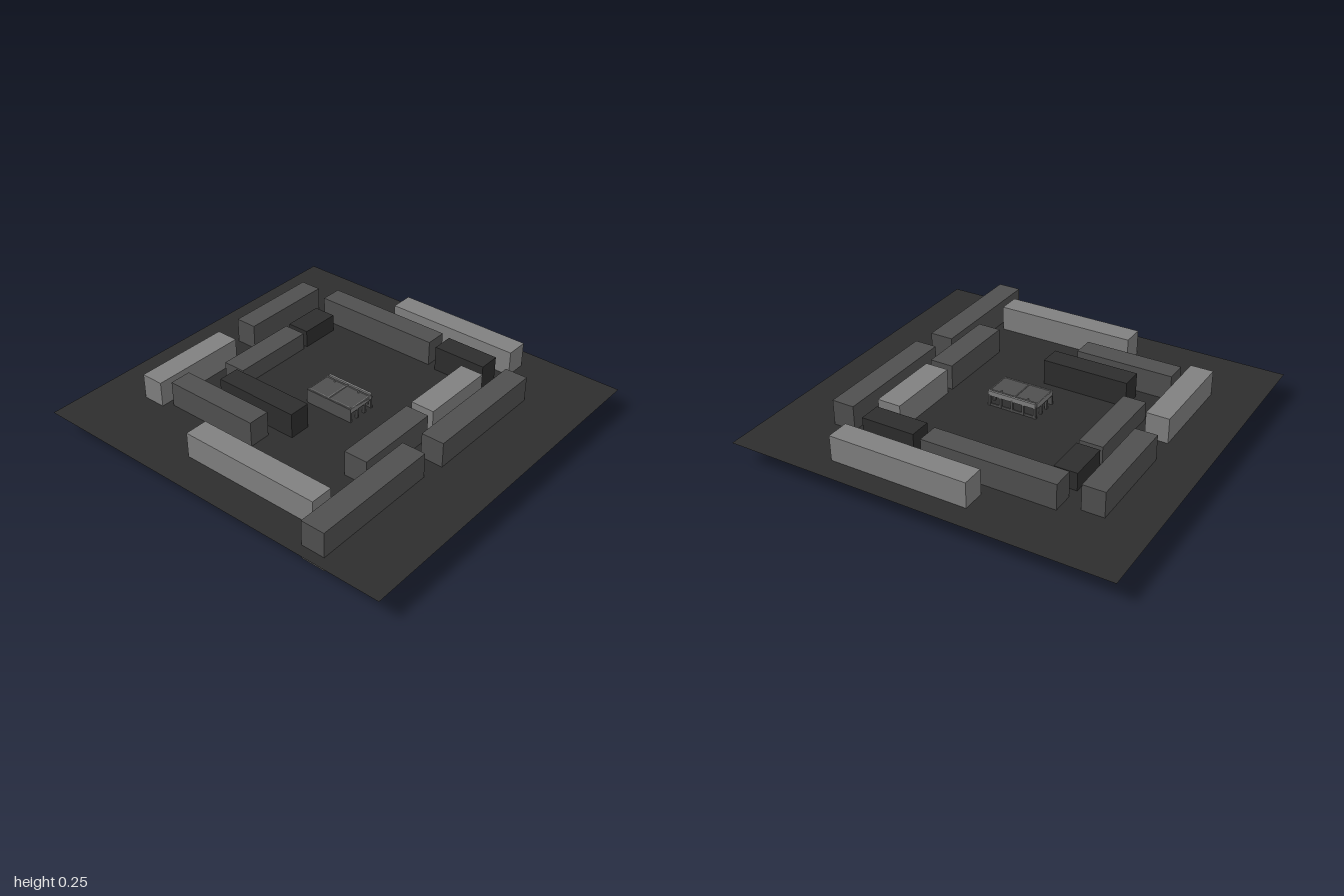
import * as THREE from 'three';

const mat = (name, color, side = THREE.FrontSide) => {
  const m = new THREE.MeshStandardMaterial({ color, side });
  m.name = name;
  return m;
};

export function createModel() {
  const group = new THREE.Group();
  const light = mat('light grey', 0x808080);
  const mid = mat('mid grey', 0x4f4f4f);
  const dark = mat('charcoal', 0x2d2d2d);
  const ground = mat('ground charcoal', 0x2d2d2d, THREE.DoubleSide);
  const G = 0.115; // ground height; the walls run down through it

  // Box given by its extents on each axis
  const box = (name, m, x0, x1, y0, y1, z0, z1, parent = group) => {
    const mesh = new THREE.Mesh(new THREE.BoxGeometry(x1 - x0, y1 - y0, z1 - z0), m);
    mesh.position.set((x0 + x1) / 2, (y0 + y1) / 2, (z0 + z1) / 2);
    mesh.name = name;
    parent.add(mesh);
    return mesh;
  };

  // Ground sheet
  const sheet = new THREE.Mesh(new THREE.PlaneGeometry(2, 1.92), ground);
  sheet.rotation.x = -Math.PI / 2;
  sheet.position.y = G;
  sheet.name = 'ground';
  group.add(sheet);

  // Wall blocks: material, x range, z range, bottom
  const walls = [
    [light, -0.22, 0.51, -0.84, -0.72, 0.04],
    [light, -0.755, -0.635, 0.065, 0.585, 0.04],
    [light, -0.25, 0.505, 0.665, 0.785, 0.04],
    [light, 0.385, 0.51, -0.47, -0.065, 0.04],
    [mid, -0.56, 0.14, -0.655, -0.54, 0.04],
    [mid, -0.765, -0.65, -0.6, -0.085, 0.04],
    [mid, -0.57, -0.45, -0.245, 0.21, 0],
    [mid, -0.6, -0.08, 0.43, 0.545, 0.04],
    [mid, 0.545, 0.67, 0.215, 0.905, 0.04],
    [mid, 0.385, 0.51, -0.025, 0.43, 0.04],
    [mid, 0.57, 0.69, -0.585, 0.105, 0.04],
    [dark, 0.19, 0.475, -0.64, -0.525, 0.04],
    [dark, -0.57, -0.45, -0.485, -0.27, 0],
    [dark, -0.44, 0.02, 0.26, 0.375, 0.04],
  ];
  walls.forEach(([m, x0, x1, z0, z1, y0], i) =>
    box(`wall${i + 1}`, m, x0, x1, y0, y0 + 0.208, z0, z1));

  // Central two-bay stand
  const stand = new THREE.Group();
  stand.name = 'centreStand';
  group.add(stand);
  const X0 = -0.118, X1 = 0.155, XM = 0.012, Z0 = -0.062, Z1 = 0.108, TOP = 0.19;
  box('standFront', mid, X0, X1, G, TOP, Z1 - 0.012, Z1, stand);
  box('standBackSill', mid, X0, X1, G - 0.004, G + 0.012, -0.06, -0.052, stand);
  for (const [a, b] of [[X0, XM - 0.004], [XM + 0.004, X1]])
    box('topPanel', mid, a, b, TOP - 0.025, TOP, -0.038, Z1 - 0.01, stand);

  // Light trim framing the two bays
  box('backRail', light, X0 + 0.004, X1 - 0.004, TOP - 0.02, TOP + 0.006, Z0, Z0 + 0.012, stand);
  box('rearTrim', light, X0, X1, TOP - 0.02, TOP + 0.004, -0.042, -0.037, stand);
  box('frontTrim', light, X0, X1, TOP - 0.01, TOP + 0.004, Z1 - 0.012, Z1 - 0.007, stand);
  for (const x of [X0, XM - 0.004, X1 - 0.005])
    box('sideTrim', light, x, x + 0.005, TOP - 0.02, TOP + 0.004, Z0 + 0.012, Z1 - 0.005, stand);

  // Posts under the back edge and along both ends
  for (let i = 0; i < 5; i++) {
    const x = X0 + 0.004 + i * 0.0635;
    box('backPost', mid, x, x + 0.012, G, TOP - 0.01, Z0, Z0 + 0.012, stand);
  }
  for (const x of [X0, X1 - 0.012])
    for (const z of [-0.01, 0.045])
      box('endPost', mid, x, x + 0.012, G, TOP - 0.02, z, z + 0.014, stand);

  // Small pegs on the rear trim
  for (const x of [-0.06, 0.09])
    box('peg', light, x, x + 0.006, TOP, TOP + 0.008, -0.036, -0.026, stand);

  return group;
}
